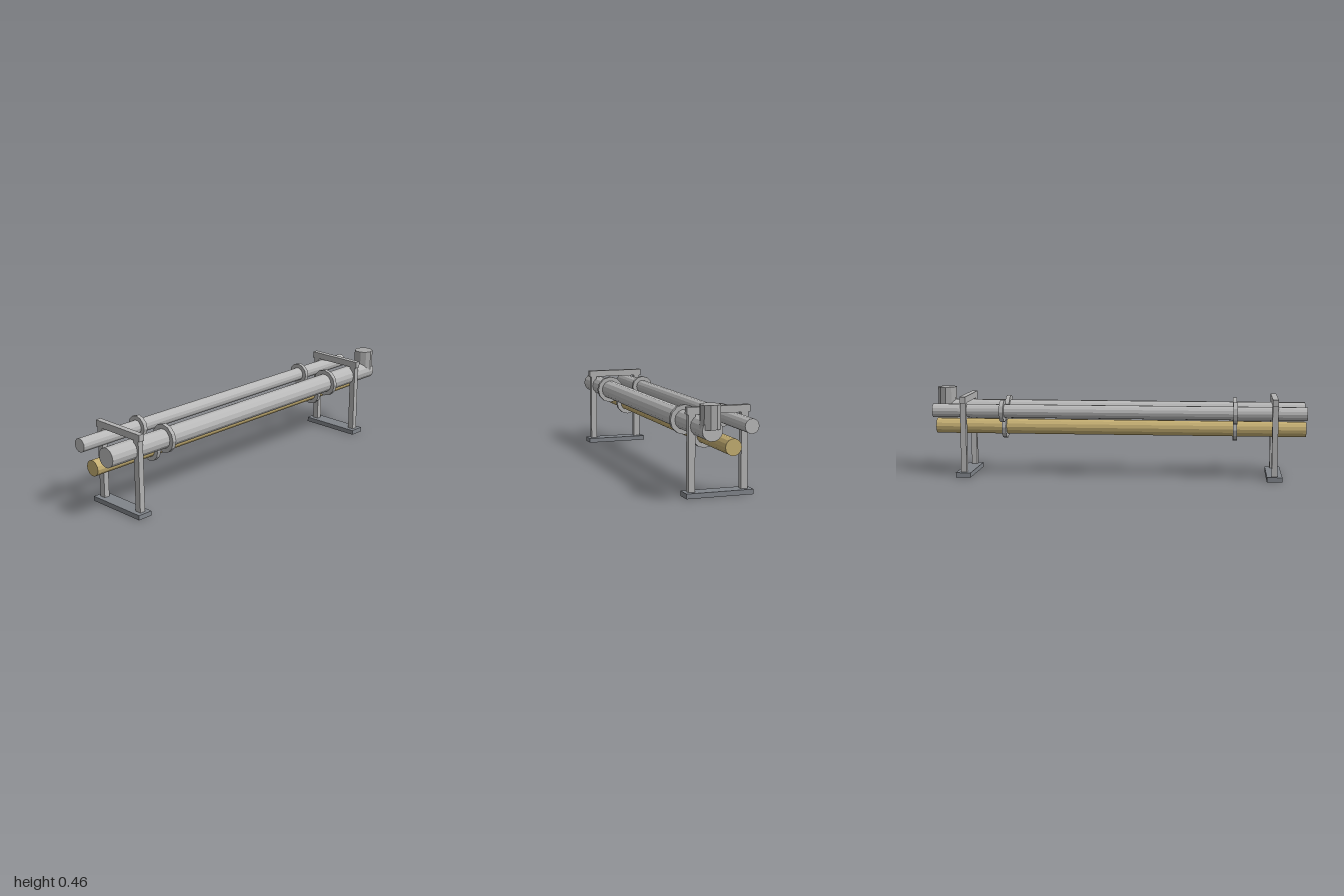
import * as THREE from 'three';

const mat = (name, color) => {
  const m = new THREE.MeshStandardMaterial({ color, flatShading: true });
  m.name = name;
  return m;
};

export function createModel() {
  const model = new THREE.Group();
  model.name = 'pipeRack';
  const steel = mat('pipe grey', 0xb8b8b8);
  const frame = mat('frame grey', 0xb2b2b2);
  const capGrey = mat('valve grey', 0xa8a8a8);
  const baseGrey = mat('base slate', 0x80848a);
  const brass = mat('brass', 0xc4ae72);

  const add = (parent, name, geometry, material, x, y, z) => {
    const mesh = new THREE.Mesh(geometry, material);
    mesh.name = name;
    mesh.position.set(x, y, z);
    parent.add(mesh);
    return mesh;
  };
  // Cylinder lying along x
  const rod = (r, length, sides) =>
    new THREE.CylinderGeometry(r, r, length, sides).rotateZ(-Math.PI / 2);

  // Three long pipes, each with a pair of collars
  const pipes = [
    { name: 'frontPipe', y: 0.34, z: 0.094, r: 0.051, collar: 0.074, material: steel },
    { name: 'lowerPipe', y: 0.258, z: -0.01, r: 0.041, collar: 0.064, material: brass },
    { name: 'rearPipe', y: 0.351, z: -0.102, r: 0.036, collar: 0.059, material: steel },
  ];
  for (const p of pipes) {
    add(model, p.name, rod(p.r, 1.983, 14), p.material, -0.0085, p.y, p.z);
    for (const x of [-0.626, 0.608])
      add(model, p.name + 'Collar', rod(p.collar, 0.022, 12), frame, x, p.y, p.z);
  }

  // Two portal stands: foot plate, two posts and a top beam
  for (const x of [-0.833, 0.813]) {
    const stand = new THREE.Group();
    stand.name = 'stand';
    stand.position.x = x;
    add(stand, 'footPlate', new THREE.BoxGeometry(0.08, 0.025, 0.341), baseGrey, 0, 0.0125, 0.001);
    for (const z of [0.136, -0.132])
      add(stand, 'post', new THREE.BoxGeometry(0.03, 0.372, 0.034), frame, 0, 0.21, z);
    add(stand, 'topBeam', new THREE.BoxGeometry(0.03, 0.035, 0.32), frame, 0, 0.4125, 0.001);
    model.add(stand);
  }

  // Upright outlet at the end of the front pipe
  add(model, 'outlet', new THREE.CylinderGeometry(0.051, 0.051, 0.114, 10), capGrey, 0.951, 0.402, 0.094);
  return model;
}
